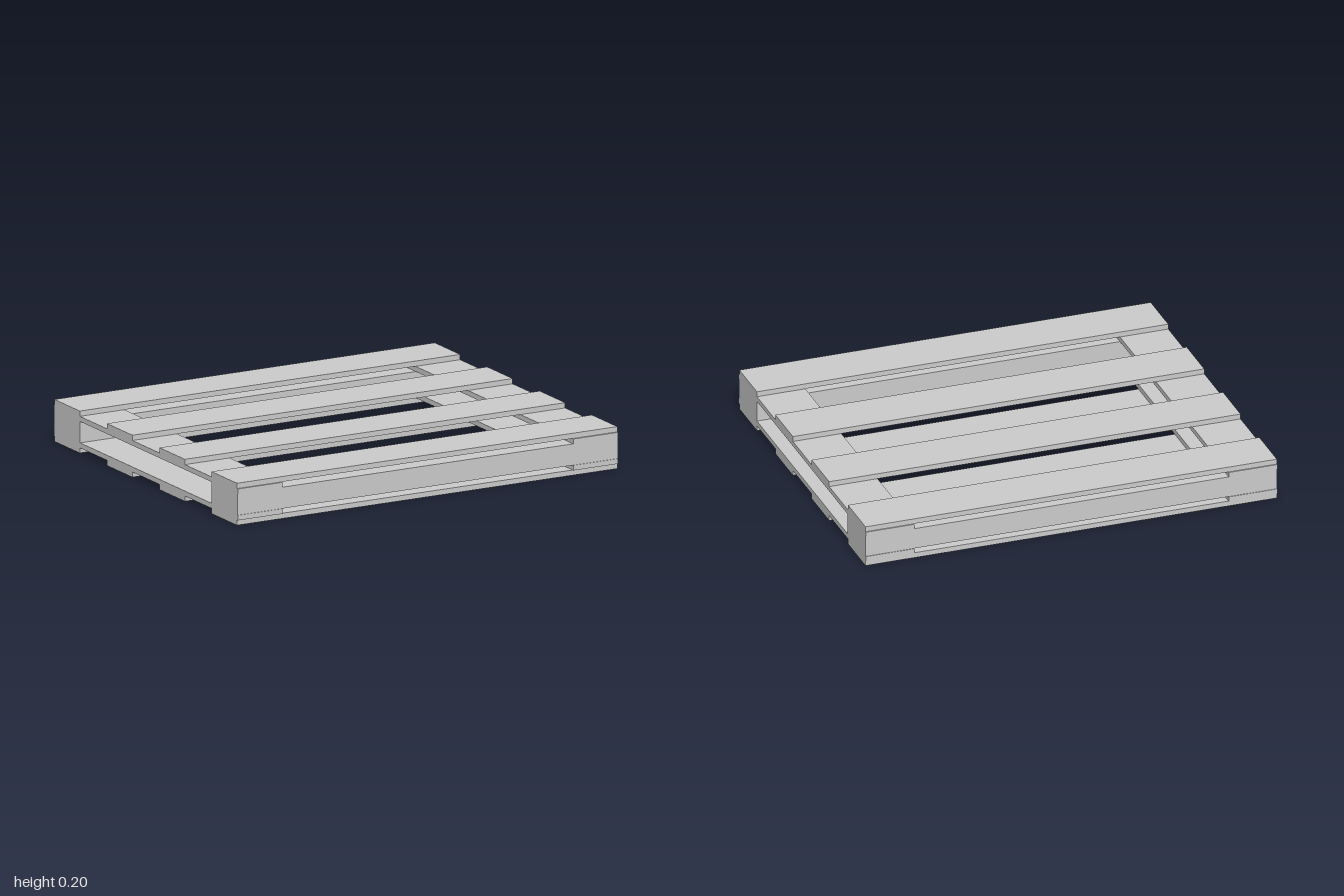
import * as THREE from 'three';

const BOARD = 0.235; // width shared by all boards and beams

export function createModel() {
  const pallet = new THREE.Group();
  pallet.name = 'pallet';
  const wood = new THREE.MeshStandardMaterial({ color: 0xcccccc, flatShading: true });

  // Box plank given its size, its centre in x and z, and its bottom and top heights
  function plank(name, width, depth, x, z, bottom, top) {
    const mesh = new THREE.Mesh(new THREE.BoxGeometry(width, top - bottom, depth), wood);
    mesh.position.set(x, (bottom + top) / 2, z);
    mesh.name = name;
    pallet.add(mesh);
  }

  // Long deck slats, four above and four below
  [-0.727, -0.242, 0.243, 0.724].forEach((z, i) => {
    plank(`topSlat${i + 1}`, 2, BOARD, 0, z, 0.177, 0.202);
    plank(`bottomSlat${i + 1}`, 2, BOARD, 0, z, 0.003, 0.028);
  });

  for (const side of [-1, 1]) {
    const x = side * (1 - BOARD / 2);
    const hand = side > 0 ? 'left' : 'right';
    // Cross boards joining the slats at both ends
    plank(`${hand}TopCrossBoard`, BOARD, 1.7, x, 0, 0.153, 0.177);
    plank(`${hand}BottomCrossBoard`, BOARD, 1.7, x, 0, 0.028, 0.052);
    // Thick beam between the two decks, along the front and back
    plank(side > 0 ? 'frontBeam' : 'backBeam', 2, BOARD + 0.005, 0, side * 0.727, 0.052, 0.153);
  }

  // Rest the bottom slats on the floor
  pallet.children.forEach((part) => { part.position.y -= 0.003; });
  return pallet;
}
